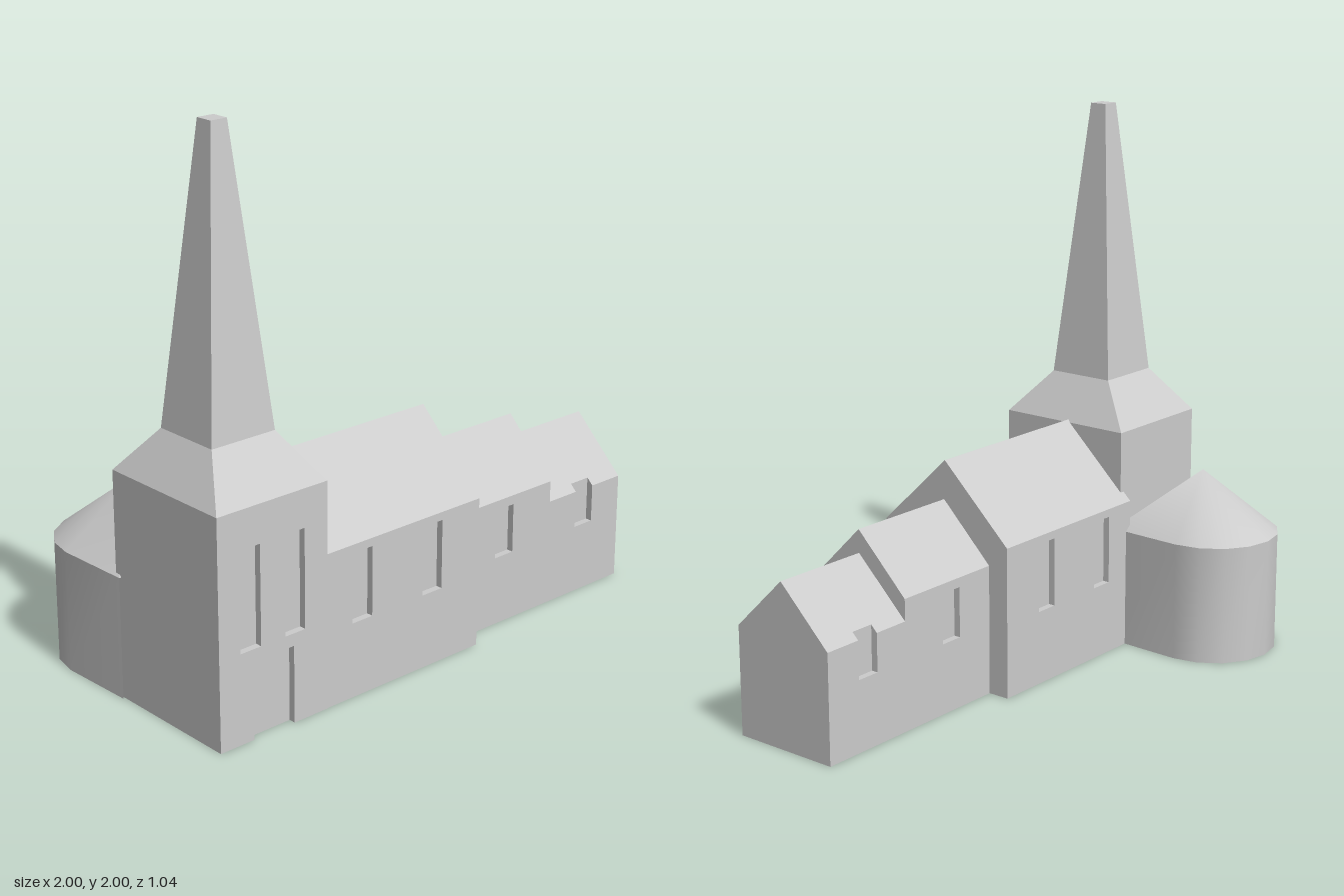
import * as THREE from 'three';

const RECESS = 0.025; // depth of windows and door

export function createModel() {
  const model = new THREE.Group();
  const stone = new THREE.MeshStandardMaterial({ color: 0xcccccc });
  stone.name = 'paleStone';

  const add = (name, geometry, parent = model) => {
    const mesh = new THREE.Mesh(geometry, stone);
    mesh.name = name;
    parent.add(mesh);
    return mesh;
  };

  // Wall slab in the xy plane. Openings [x0, x1, y0, y1] (left to right) become
  // holes, or notches where they reach the ground or the eave.
  // The inner top edge is raised by "rise" to follow the roof slope.
  function wall(x0, x1, top, openings, zMin, outward, rise = 0) {
    const outline = [[x0, 0]];
    const holes = [];
    for (const [a, b, c, d] of openings) {
      if (c <= 0) outline.push([a, 0], [a, d], [b, d], [b, 0]);
      else if (d < top) holes.push([[a, c], [a, d], [b, d], [b, c]]);
    }
    outline.push([x1, 0], [x1, top]);
    for (const [a, b, c, d] of [...openings].reverse()) {
      if (d >= top) outline.push([b, top], [b, c], [a, c], [a, top]);
    }
    outline.push([x0, top]);
    const toPoints = (list) => list.map(([x, y]) => new THREE.Vector2(x, y));
    const shape = new THREE.Shape(toPoints(outline));
    holes.forEach((h) => shape.holes.push(new THREE.Path(toPoints(h))));
    const g = new THREE.ExtrudeGeometry(shape, { depth: RECESS, bevelEnabled: false });
    const p = g.attributes.position;
    for (let i = 0; i < p.count; i++) {
      const inner = outward > 0 ? p.getZ(i) < RECESS / 2 : p.getZ(i) > RECESS / 2;
      if (inner && p.getY(i) > top - 1e-4) p.setY(i, top + rise);
    }
    g.translate(0, 0, zMin);
    g.computeVertexNormals();
    return g;
  }

  // Gabled hall along x: solid core plus front and back walls with openings
  function hall(name, x0, x1, zBack, zFront, eave, ridge, openings) {
    const group = new THREE.Group();
    group.name = name;
    model.add(group);
    const mid = (zBack + zFront) / 2;
    const rise = (RECESS * (ridge - eave)) / (zFront - mid);
    const f = zFront - RECESS, b = zBack + RECESS;
    const shape = new THREE.Shape([
      [-f, 0], [-b, 0], [-b, eave + rise], [-mid, ridge], [-f, eave + rise],
    ].map(([u, y]) => new THREE.Vector2(u, y)));
    const core = new THREE.ExtrudeGeometry(shape, { depth: x1 - x0, bevelEnabled: false });
    core.rotateY(Math.PI / 2).translate(x0, 0, 0);
    add(name + 'Core', core, group);
    add(name + 'FrontWall', wall(x0, x1, eave, openings, f, 1, rise), group);
    add(name + 'BackWall', wall(x0, x1, eave, openings, zBack, -1, rise), group);
  }

  // Four-sided block tapering between two rectangles [x0, x1, z0, z1]
  function taper(bottom, top, y0, y1) {
    const g = new THREE.BoxGeometry(1, 1, 1);
    const p = g.attributes.position;
    for (let i = 0; i < p.count; i++) {
      const up = p.getY(i) > 0;
      const r = up ? top : bottom;
      p.setXYZ(i, p.getX(i) > 0 ? r[1] : r[0], up ? y1 : y0, p.getZ(i) > 0 ? r[3] : r[2]);
    }
    g.computeVertexNormals();
    return g;
  }

  // Three halls stepping down toward +x
  hall('nave', -0.54, 0.183, -0.05, 0.518, 0.56, 0.83,
    [[-0.41, -0.32, 0.275, 0.53], [-0.085, 0.005, 0.275, 0.53]]);
  hall('chancel', 0.183, 0.625, 0.032, 0.446, 0.48, 0.685, [[0.343, 0.433, 0.26, 0.445]]);
  hall('sanctuary', 0.625, 1, 0.032, 0.446, 0.4, 0.6, [[0.765, 0.855, 0.26, 0.425]]);

  // Tower with door, windows, skirt roof and spire
  const base = [-0.98, -0.522, -0.018, 0.52];
  const neck = [-0.882, -0.622, 0.12, 0.38];
  const tip = [-0.785, -0.72, 0.218, 0.284];
  const core = [base[0], base[1], base[2], base[3] - RECESS];
  add('towerCore', taper(core, core, 0, 0.82));
  add('towerFrontWall', wall(base[0], base[1], 0.82, [
    [-0.893, -0.807, 0.325, 0.683], [-0.84, -0.668, 0, 0.28], [-0.705, -0.62, 0.325, 0.683],
  ], base[3] - RECESS, 1));
  add('towerSkirtRoof', taper(base, neck, 0.82, 0.98));
  add('spire', taper(neck, tip, 0.98, 2));

  // Rounded apse behind the tower: outline runs from -x side round the back to +x
  const cx = -0.753, cz = -0.28, r = 0.245;
  const plan = [[cx - 0.235, 0.01]];
  for (let i = 0; i <= 8; i++) {
    const a = (i / 8) * Math.PI;
    plan.push([cx - r * Math.cos(a), cz - r * Math.sin(a)]);
  }
  plan.push([cx + 0.235, 0.01]);
  const n = plan.length, eave = 0.445;
  const apex = [cx, 0.668, -0.23];

  function mesh(points, index) {
    const g = new THREE.BufferGeometry();
    g.setAttribute('position', new THREE.Float32BufferAttribute(points.flat(), 3));
    g.setIndex(index);
    g.computeVertexNormals();
    return g;
  }
  const low = plan.map(([x, z]) => [x, 0, z]);
  const high = plan.map(([x, z]) => [x, eave, z]);
  const wallIndex = [], roofIndex = [], floorIndex = [];
  for (let i = 0; i < n - 1; i++) {
    wallIndex.push(i, n + i, i + 1, i + 1, n + i, n + i + 1);
    roofIndex.push(i, n, i + 1);
    if (i > 0) floorIndex.push(0, i, i + 1);
  }
  add('apseWall', mesh([...low, ...high], wallIndex));
  add('apseRoof', mesh([...high, apex], roofIndex));
  add('apseRoofFront', mesh([high[0], high[n - 1], apex], [0, 1, 2]));
  add('apseFloor', mesh(low, floorIndex));

  return model;
}
